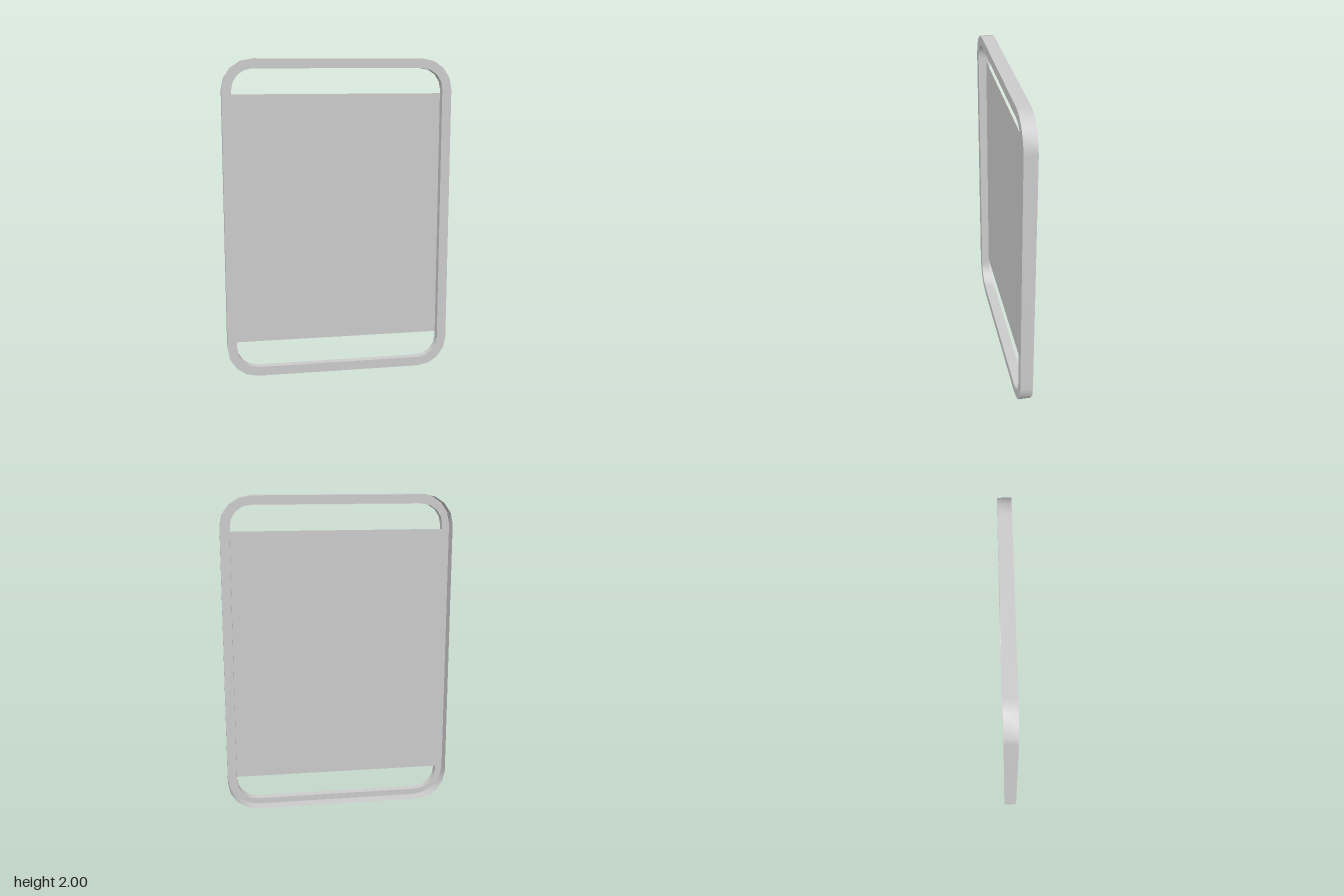
import * as THREE from 'three';

const HALF_W = 0.717, HALF_H = 1, RADIUS = 0.19, RIM = 0.059;
const FRONT = 0.04, BACK = -0.04, PANEL_Z = -0.01;
const CORNER_STEPS = 4;

const material = new THREE.MeshStandardMaterial({ color: 0xcccccc, side: THREE.DoubleSide });

// Rounded rectangle at depth z, shrunk by inset, counter-clockwise from the front
function loop(inset, z) {
  const points = [];
  const cx = HALF_W - RADIUS, cy = HALF_H - RADIUS, r = RADIUS - inset;
  [[1, 1], [-1, 1], [-1, -1], [1, -1]].forEach(([sx, sy], corner) => {
    for (let i = 0; i <= CORNER_STEPS; i++) {
      const a = (corner + i / CORNER_STEPS) * Math.PI / 2;
      points.push(new THREE.Vector3(sx * cx + r * Math.cos(a), 1 + sy * cy + r * Math.sin(a), z));
    }
  });
  return points;
}

// Closed band of quads joining two loops
function band(name, a, b) {
  const n = a.length, index = [];
  for (let i = 0; i < n; i++) {
    const j = (i + 1) % n;
    index.push(i, j, n + j, i, n + j, n + i);
  }
  const geometry = new THREE.BufferGeometry().setFromPoints([...a, ...b]);
  geometry.setIndex(index);
  geometry.computeVertexNormals();
  const mesh = new THREE.Mesh(geometry, material);
  mesh.name = name;
  return mesh;
}

export function createModel() {
  const model = new THREE.Group();
  model.name = 'framedPanel';

  // Frame: a thin channel, open at the back, with a shallower inner wall
  const frame = new THREE.Group();
  frame.name = 'frame';
  frame.add(
    band('outerWall', loop(0, BACK), loop(0, FRONT)),
    band('frontRim', loop(0, FRONT), loop(RIM, FRONT)),
    band('innerWall', loop(RIM, FRONT), loop(RIM, PANEL_Z))
  );
  model.add(frame);

  // Flat sheet between the side walls, with gaps above and below
  const panel = new THREE.Mesh(new THREE.PlaneGeometry(2 * (HALF_W - RIM), 1.57), material);
  panel.name = 'panel';
  panel.position.set(0, 1, PANEL_Z);
  model.add(panel);

  return model;
}
